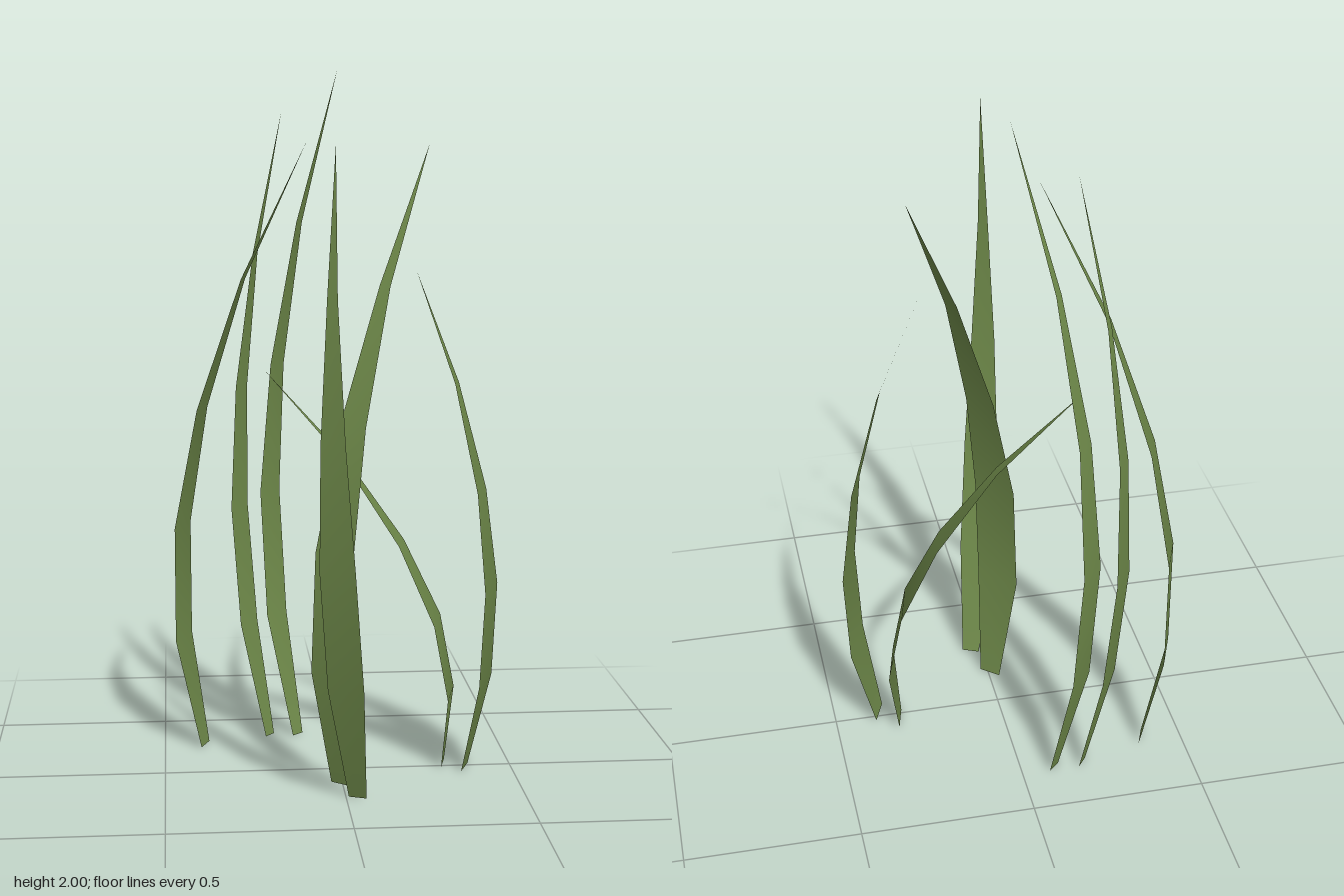
import * as THREE from 'three';

// Half-width and height fractions at each of the six levels of a blade
const WIDTH = [0.5, 1, 0.98, 0.67, 0.28, 0];
const RISE = [0, 0.183, 0.372, 0.567, 0.78, 1];

// base x/z, lean direction x/z, height, half-width,
// then bend and turn: sideways offset at level i is bend * i * (i - turn)
const BLADES = [
  { base: [-0.38, -0.26], lean: [0.93, 0.37], height: 1.8, half: 0.066, bend: 0.0325, turn: 3.0 },
  { base: [-0.182, -0.336], lean: [0.78, 0.62], height: 1.88, half: 0.042, bend: 0.0216, turn: 4.52 },
  { base: [-0.097, -0.338], lean: [0.68, 0.73], height: 2.0, half: 0.042, bend: 0.0298, turn: 3.9 },
  { base: [-0.005, 0.137], lean: [0.647, -0.763], height: 1.79, half: 0.066, bend: 0.0345, turn: 2.45 },
  { base: [0.032, 0.256], lean: [0.4, -0.92], height: 1.8, half: 0.052, bend: 0.0163, turn: 7.3 },
  { base: [0.307, -0.025], lean: [-0.972, -0.236], height: 1.15, half: 0.082, bend: 0.032, turn: 1.71 },
  { base: [0.365, 0.018], lean: [-0.93, -0.366], height: 1.44, half: 0.08, bend: 0.0225, turn: 3.65 },
];

// Flat tapering strip that bows outward and bends over to a point
function bladeGeometry({ base, lean, height, half, bend, turn }) {
  const dir = new THREE.Vector2(...lean).normalize();
  const positions = [];
  const indices = [];
  const last = WIDTH.length - 1;
  for (let i = 0; i <= last; i++) {
    const offset = bend * i * (i - turn);
    const x = base[0] + dir.x * offset;
    const z = base[1] + dir.y * offset;
    const y = height * RISE[i];
    const w = half * WIDTH[i];
    positions.push(x - dir.y * w, y, z + dir.x * w);
    if (i < last) positions.push(x + dir.y * w, y, z - dir.x * w);
  }
  for (let i = 0; i < last; i++) {
    const a = i * 2;
    indices.push(a, a + 1, a + 2);
    if (i < last - 1) indices.push(a + 1, a + 3, a + 2);
  }
  const geometry = new THREE.BufferGeometry();
  geometry.setAttribute('position', new THREE.Float32BufferAttribute(positions, 3));
  geometry.setIndex(indices);
  geometry.computeVertexNormals();
  return geometry;
}

export function createModel() {
  const group = new THREE.Group();
  group.name = 'grassTuft';
  const green = new THREE.MeshStandardMaterial({ color: 0x6f8a4a, side: THREE.DoubleSide });
  green.name = 'grassGreen';
  BLADES.forEach((blade, i) => {
    const mesh = new THREE.Mesh(bladeGeometry(blade), green);
    mesh.name = `grassBlade${i + 1}`;
    group.add(mesh);
  });
  return group;
}
